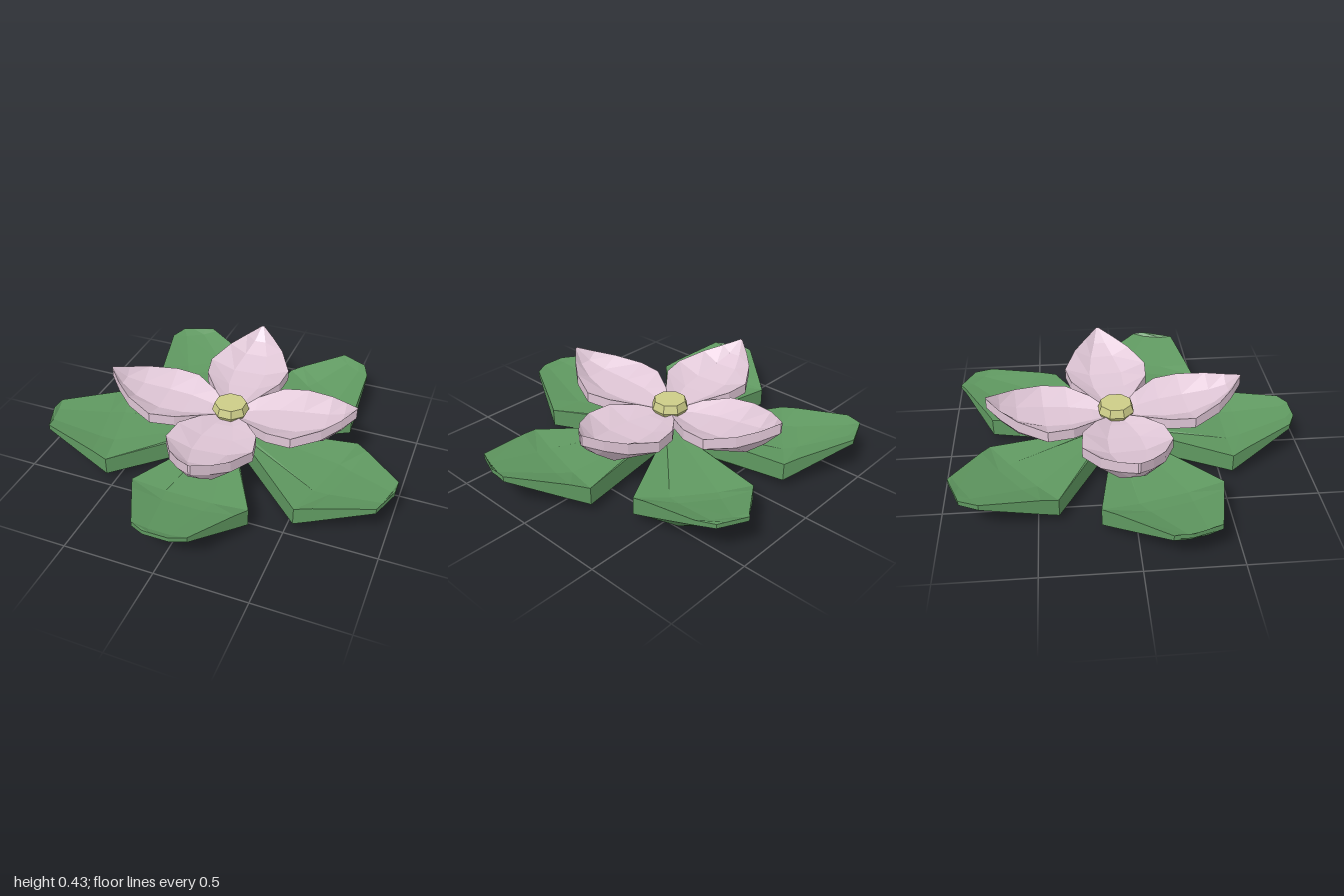
import * as THREE from 'three';

const material = (color) => new THREE.MeshStandardMaterial({ color, flatShading: true });

// Skins a closed blade through stations { a:[x,z], b:[x,z], rt, rb, mt, mb }:
// its two edge points, then rim top/bottom and middle top/bottom heights.
function blade(stations) {
  const across = [0, 0.3, 0.7, 1];
  const rings = stations.map(({ a, b, rt, rb, mt, mb }) => {
    const point = (t, y) => [a[0] + (b[0] - a[0]) * t, y, a[1] + (b[1] - a[1]) * t];
    const isRim = (t) => t === 0 || t === 1;
    return [
      ...across.map((t) => point(t, isRim(t) ? rt : mt)),
      ...[...across].reverse().map((t) => point(t, isRim(t) ? rb : mb)),
    ];
  });
  const n = rings[0].length;
  const last = rings.length - 1;
  const index = [];
  for (let i = 0; i < last; i++) {
    for (let j = 0; j < n; j++) {
      const p = i * n + j, q = i * n + (j + 1) % n;
      index.push(p, q, p + n, q, q + n, p + n);
    }
  }
  // End caps, as strips between the top and bottom edges
  for (let j = 0; j < 3; j++) {
    const k = n - 1 - j, e = last * n;
    index.push(j, k, j + 1, j + 1, k, k - 1);
    index.push(e + j, e + j + 1, e + k, e + j + 1, e + k - 1, e + k);
  }
  const geometry = new THREE.BufferGeometry();
  geometry.setAttribute('position', new THREE.Float32BufferAttribute(rings.flat(2), 3));
  geometry.setIndex(index);
  const flat = geometry.toNonIndexed();
  flat.computeVertexNormals();
  return flat;
}

const mix = (p, q, t) => [p[0] + (q[0] - p[0]) * t, p[1] + (q[1] - p[1]) * t];

// Leaf from its outline: wide, shoulder and tip corners on each side
function leafGeometry([wideA, shoulderA, tipA, tipB, shoulderB, wideB]) {
  const hub = [0, -0.06];
  return blade([
    { a: mix(hub, wideA, 0.09), b: mix(hub, wideB, 0.09), rt: 0.16, rb: 0.04, mt: 0.17, mb: 0.02 },
    { a: wideA, b: wideB, rt: 0.15, rb: 0.05, mt: 0.13, mb: 0 },
    { a: mix(wideA, shoulderA, 0.23), b: mix(wideB, shoulderB, 0.23), rt: 0.17, rb: 0.08, mt: 0.14, mb: 0 },
    { a: shoulderA, b: shoulderB, rt: 0.215, rb: 0.185, mt: 0.2, mb: 0.17 },
    { a: tipA, b: tipB, rt: 0.22, rb: 0.195, mt: 0.22, mb: 0.195 },
  ]);
}

export function createModel() {
  const model = new THREE.Group();
  const add = (name, geometry, mat, parent = model) => {
    const mesh = new THREE.Mesh(geometry, mat);
    mesh.name = name;
    parent.add(mesh);
    return mesh;
  };
  const green = material(0x5f9860);
  const pink = material(0xdfc6d6);
  const yellow = material(0xcccc88);

  // Five broad leaves
  const sideLeaf = [[0.71, -0.18], [1, 0.14], [1, 0.17], [1, 0.23], [0.94, 0.385], [0.54, 0.47]];
  const leaves = {
    frontLeaf: [[0.33, 0.56], [0.15, 0.91], [0.07, 0.95], [-0.07, 0.95], [-0.15, 0.91], [-0.33, 0.56]],
    leftLeaf: sideLeaf,
    rightLeaf: sideLeaf.map(([x, z]) => [-x, z]).reverse(),
    backLeftLeaf: [[0.13, -0.76], [0.39, -0.93], [0.42, -0.955], [0.57, -0.88], [0.61, -0.78], [0.62, -0.39]],
    backRightLeaf: [[-0.62, -0.39], [-0.705, -0.78], [-0.67, -0.88], [-0.49, -0.95], [-0.46, -0.935], [-0.13, -0.76]],
  };
  for (const [name, outline] of Object.entries(leaves)) add(name, leafGeometry(outline), green);

  // Blossom, turned slightly against the leaves
  const blossom = new THREE.Group();
  blossom.name = 'blossom';
  blossom.position.set(-0.01, 0, -0.055);
  model.add(blossom);

  // Cupped petal: distance out, half width, rim top/bottom, middle top/bottom
  const petal = blade([
    [0.03, 0.03, 0.26, 0.2, 0.25, 0.19],
    [0.13, 0.13, 0.3, 0.24, 0.26, 0.2],
    [0.26, 0.22, 0.325, 0.265, 0.265, 0.19],
    [0.4, 0.24, 0.33, 0.27, 0.275, 0.19],
    [0.55, 0.165, 0.365, 0.3, 0.31, 0.225],
    [0.64, 0.085, 0.395, 0.335, 0.355, 0.295],
    [0.71, 0.006, 0.43, 0.37, 0.43, 0.37],
  ].map(([z, w, rt, rb, mt, mb]) => ({ a: [w, z], b: [-w, z], rt, rb, mt, mb })));
  ['frontPetal', 'leftPetal', 'backPetal', 'rightPetal'].forEach((name, i) => {
    add(name, petal, pink, blossom).rotation.y = 0.085 + i * Math.PI / 2;
  });

  // Tapered flower centre
  const profile = [[0, 0.15], [0.03, 0.16], [0.105, 0.28], [0.09, 0.325], [0, 0.325]];
  add('flowerCentre', new THREE.LatheGeometry(profile.map(([r, y]) => new THREE.Vector2(r, y)), 8), yellow, blossom)
    .rotation.y = Math.PI / 8;

  return model;
}
